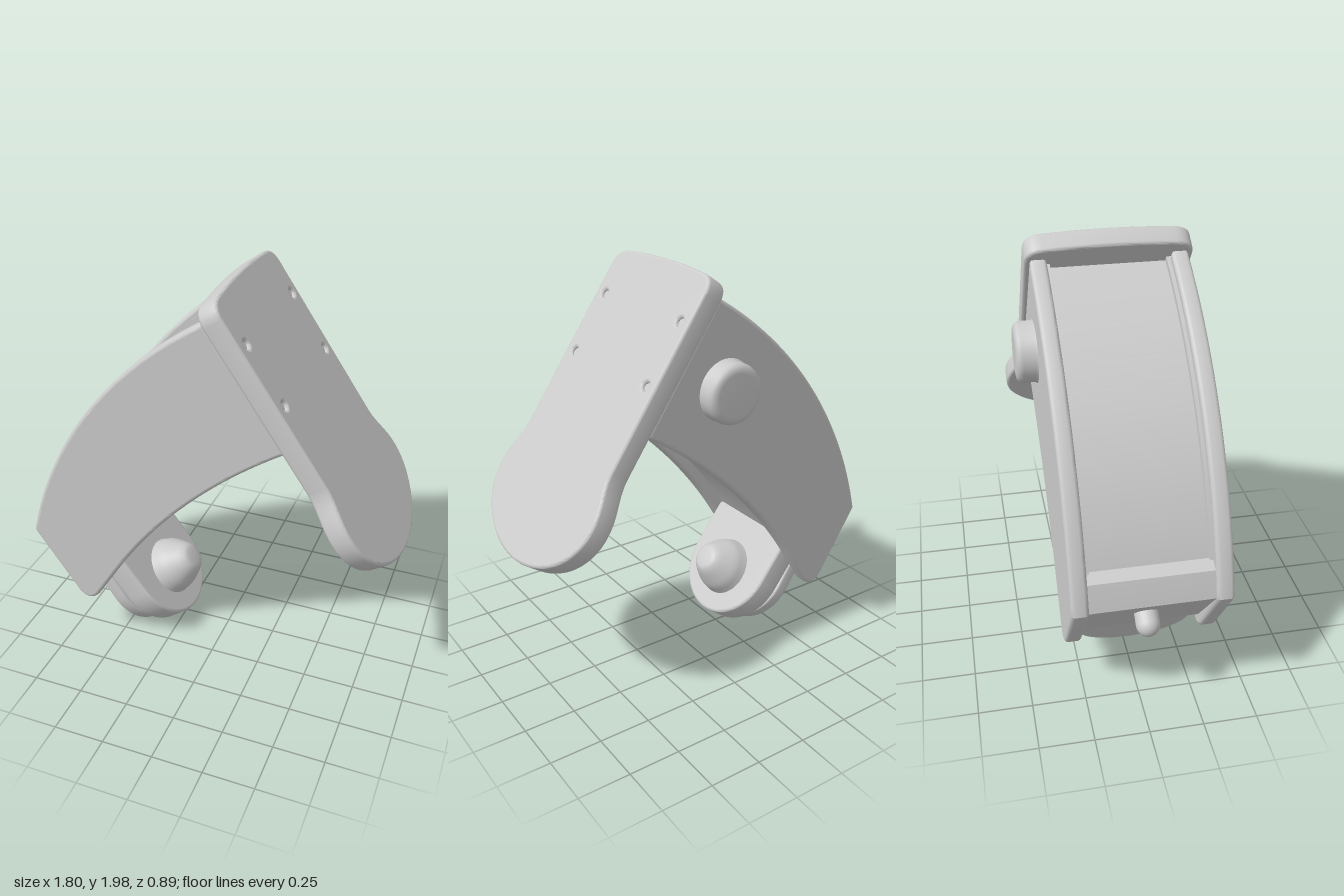
import * as THREE from 'three';
import { toCreasedNormals } from 'three/addons/utils/BufferGeometryUtils.js';

const material = new THREE.MeshStandardMaterial({ color: 0xcccccc });
const V2 = (x, y) => new THREE.Vector2(x, y);
const rad = THREE.MathUtils.degToRad;

function addMesh(parent, name, geometry) {
  const mesh = new THREE.Mesh(geometry, material);
  mesh.name = name;
  parent.add(mesh);
}

// Extrusion from z0 to z1 with rounded edges that stay inside the outline and flat-shaded caps
function slab(shape, z0, z1, bevel) {
  const geometry = toCreasedNormals(new THREE.ExtrudeGeometry(shape, {
    depth: z1 - z0 - 2 * bevel, bevelThickness: bevel, bevelSize: bevel,
    bevelOffset: -bevel, bevelSegments: 3, bevelEnabled: bevel > 0, curveSegments: 24,
  }).translate(0, 0, z0 + bevel), 0.7);
  const { position, normal } = geometry.attributes;
  for (let i = 0; i < position.count; i += 3) {
    const z = position.getZ(i);
    const flat = [1, 2].every((k) => Math.abs(position.getZ(i + k) - z) < 1e-5);
    if (flat) for (let k = 0; k < 3; k++) normal.setXYZ(i + k, 0, 0, z * 2 > z0 + z1 ? 1 : -1);
  }
  return geometry;
}

// Tilted frame: local z is the normal (nx, ny), local y runs up the slope, local x is -z
function tiltedGroup(parent, name, nx, ny) {
  const group = new THREE.Group();
  group.name = name;
  group.setRotationFromMatrix(new THREE.Matrix4().makeBasis(
    new THREE.Vector3(0, 0, -1), new THREE.Vector3(-ny, nx, 0), new THREE.Vector3(nx, ny, 0)));
  parent.add(group);
  return group;
}

// Body arcs: outer edge runs upward, inner edge runs downward
const outer = new THREE.EllipseCurve(1.05, 0.159, 2.01, 2.01, rad(166), rad(120.8), true);
const inner = new THREE.EllipseCurve(1.772, -0.903, 2.63, 2.63, rad(121.6), rad(147.7), false);

// Points of a curve moved inward by d
function insetPoints(curve, d, n = 36) {
  return Array.from({ length: n + 1 }, (_, i) => {
    const p = curve.getPoint(i / n), t = curve.getTangent(i / n);
    return V2(p.x + t.y * d, p.y - t.x * d);
  });
}

// The body drifts slightly sideways toward the plate
const drift = new THREE.Matrix4();
drift.elements[2] = -0.025;
drift.elements[14] = -0.025 * 0.88;

function buildBody(root) {
  const body = new THREE.Group();
  body.name = 'body';
  root.add(body);

  const side = new THREE.Shape([...insetPoints(outer, 0), ...insetPoints(inner, 0)]);
  side.lineTo(-0.57, 0.315);
  side.quadraticCurveTo(-0.625, 0.245, -0.685, 0.315);
  side.lineTo(-0.892, 0.63);
  side.closePath();
  for (const [name, z0, z1] of [['leftSidePanel', 0.307, 0.386], ['rightSidePanel', -0.327, -0.25]])
    addMesh(body, name, slab(side, z0, z1, 0.018).applyMatrix4(drift));

  // Core between the panels: a raised lip at the lower end, then a recessed floor
  const core = new THREE.Shape([
    ...insetPoints(outer, 0.02).slice(0, 4), ...insetPoints(outer, 0.062).slice(4),
    ...insetPoints(inner, 0.06), V2(-0.65, 0.35)]);
  addMesh(body, 'recessedCore', slab(core, -0.27, 0.32, 0).applyMatrix4(drift));

  // Narrow ledges along the inside of each panel
  const ledge = new THREE.Shape([
    ...insetPoints(outer, 0.035).slice(4), ...insetPoints(outer, 0.075).slice(4).reverse()]);
  for (const z of [-0.26, 0.29])
    addMesh(body, 'innerLedge', slab(ledge, z, z + 0.025, 0).applyMatrix4(drift));

  // Round knob on the right side
  const knob = new THREE.LatheGeometry([
    V2(0.155, 0), V2(0.15, 0.012), V2(0.14, 0.025), V2(0.14, 0.08), V2(0.134, 0.097),
    V2(0.12, 0.108), V2(0.1, 0.111), V2(0, 0.111)], 48);
  addMesh(body, 'sideKnob', knob.rotateX(-Math.PI / 2).translate(-0.02, 1.47, -0.33));
}

function buildPlate(root) {
  const plate = tiltedGroup(root, 'topPlate', 0.825, 0.565);
  // Straight upper part widening into a rounded paddle
  const s = new THREE.Shape();
  s.moveTo(0, 0.124);
  s.bezierCurveTo(0.24, 0.124, 0.442, 0.27, 0.442, 0.44);
  s.bezierCurveTo(0.442, 0.55, 0.38, 0.6, 0.378, 0.69);
  s.lineTo(0.372, 1.52);
  s.quadraticCurveTo(0.37, 1.598, 0.29, 1.604);
  s.quadraticCurveTo(0, 1.632, -0.3, 1.604);
  s.quadraticCurveTo(-0.385, 1.595, -0.388, 1.52);
  s.lineTo(-0.388, 0.69);
  s.bezierCurveTo(-0.39, 0.6, -0.446, 0.55, -0.446, 0.44);
  s.bezierCurveTo(-0.446, 0.27, -0.24, 0.124, 0, 0.124);

  // Four shallow screw holes, closed by sunken screw heads
  for (const x of [-0.315, 0.305]) {
    for (const y of [1.375, 1.072]) {
      const hole = new THREE.Path();
      hole.absarc(x, y, 0.02, 0, Math.PI * 2, true);
      s.holes.push(hole);
      const screw = new THREE.CylinderGeometry(0.025, 0.025, 0.07, 20);
      addMesh(plate, 'screwHead', screw.rotateX(Math.PI / 2).translate(x, y, 1.13));
    }
  }
  addMesh(plate, 'paddlePlate', slab(s, 1.08, 1.18, 0.014));
}

// Tongue outline with a half-round lower end
function tongue(bottom, top, r) {
  const s = new THREE.Shape();
  s.moveTo(r, top - 0.05);
  s.quadraticCurveTo(r, top, r - 0.05, top);
  s.lineTo(0.05 - r, top);
  s.quadraticCurveTo(-r, top, -r, top - 0.05);
  s.lineTo(-r, bottom + r);
  s.absarc(0, bottom + r, r, Math.PI, Math.PI * 2, false);
  return s;
}

function buildClamp(root) {
  const clamp = tiltedGroup(root, 'lowerClamp', 0.8, 0.6);
  clamp.position.z = 0.02;
  addMesh(clamp, 'thickJaw', slab(tongue(0.194, 0.75, 0.28), -0.198, -0.07, 0.014));

  // The thin jaw opens away from the thick one
  const lower = tiltedGroup(root, 'lowerJaw', 0.839, 0.544);
  lower.position.z = 0.02;
  addMesh(lower, 'thinJaw', slab(tongue(0.212, 0.72, 0.275), -0.314, -0.243, 0.012));

  // Blunt rounded dome on the thick jaw
  const profile = new THREE.SplineCurve([
    V2(0.152, -0.005), V2(0.145, 0.02), V2(0.132, 0.065), V2(0.102, 0.117),
    V2(0.076, 0.153), V2(0.05, 0.17), V2(0, 0.174)]).getPoints(30);
  const dome = new THREE.LatheGeometry(profile, 40);
  addMesh(clamp, 'dome', dome.rotateX(Math.PI / 2).translate(0, 0.442, -0.074));

  // Rounded pin on the back of the lower end
  const pin = new THREE.CapsuleGeometry(0.054, 0.09, 8, 24);
  addMesh(clamp, 'endPin', pin.rotateX(Math.PI / 2).translate(0.005, 0.915, -0.325));
}

export function createModel() {
  const root = new THREE.Group();
  root.name = 'curvedClampBracket';
  buildBody(root);
  buildPlate(root);
  buildClamp(root);
  return root;
}
